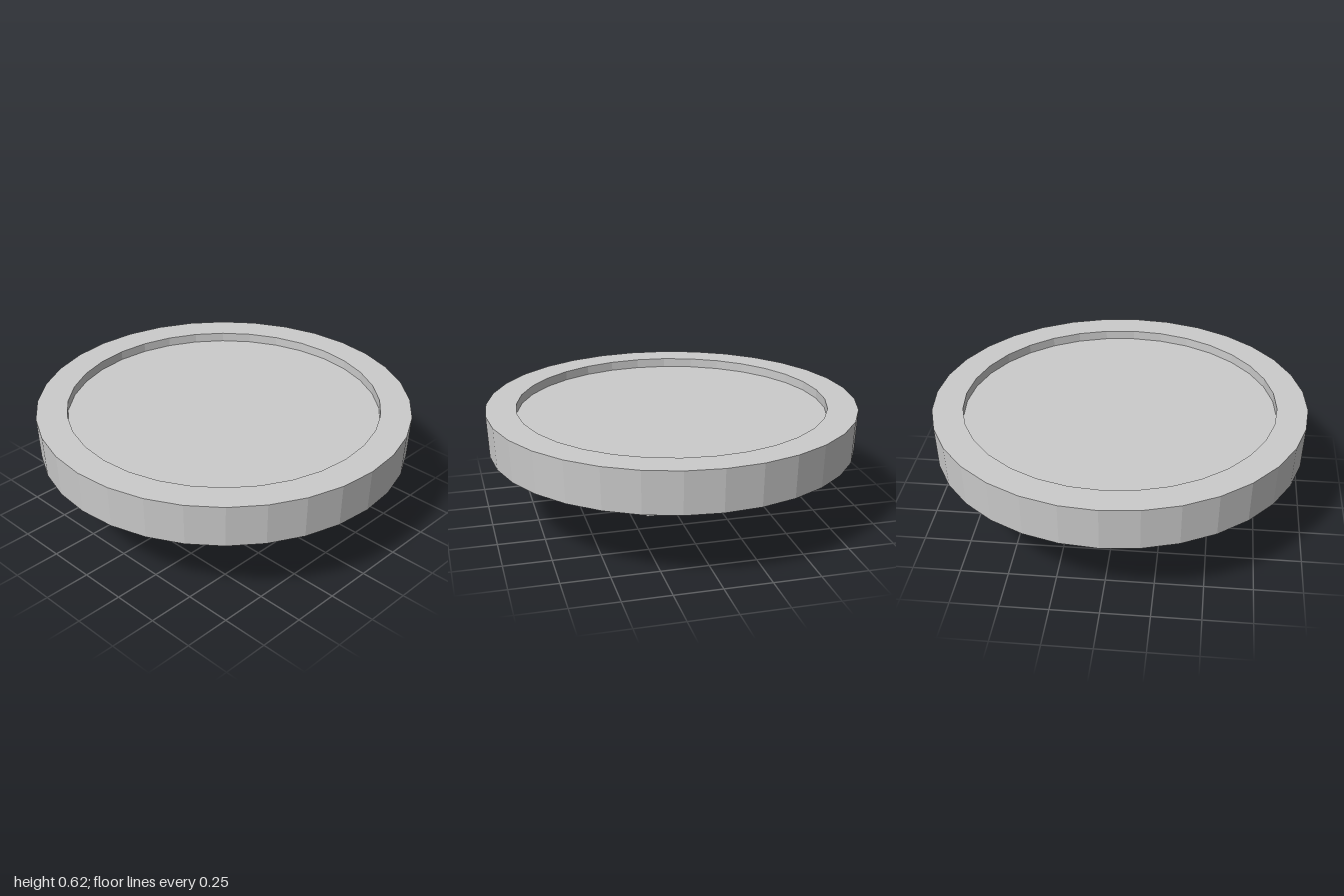
import * as THREE from 'three';

export function createModel() {
  const model = new THREE.Group();
  const material = new THREE.MeshStandardMaterial({ color: 0xcccccc, flatShading: true });

  // Round tray: underside, slightly flared outer wall, flat rim, shallow recess and floor
  const profile = [
    [0, 0.393], [0.99, 0.393], [1, 0.62], [0.837, 0.62], [0.837, 0.57], [0, 0.57],
  ].map(([r, y]) => new THREE.Vector2(r, y));
  const tray = new THREE.Mesh(new THREE.LatheGeometry(profile, 32), material);
  tray.name = 'tray';
  model.add(tray);

  // Square stem under the tray, set a little off centre
  const stem = new THREE.Mesh(new THREE.BoxGeometry(0.34, 0.393, 0.34), material);
  stem.position.set(-0.066, 0.1965, 0);
  stem.name = 'stem';
  model.add(stem);

  return model;
}
